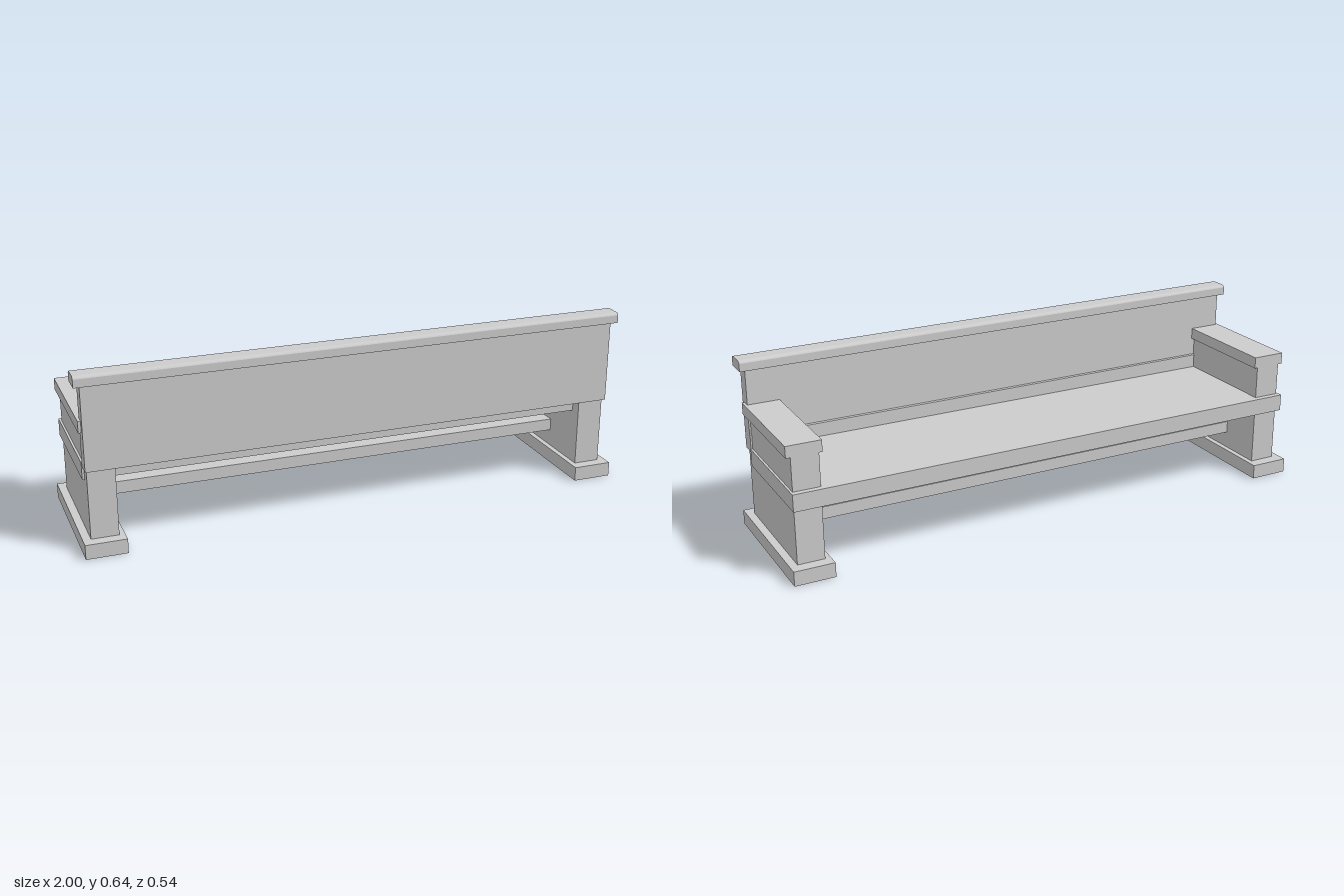
import * as THREE from 'three';

const material = new THREE.MeshStandardMaterial({ color: 0xcccccc });

// Box given by its limits on each axis
function box(name, [x0, x1], [y0, y1], [z0, z1]) {
  const mesh = new THREE.Mesh(new THREE.BoxGeometry(x1 - x0, y1 - y0, z1 - z0), material);
  mesh.position.set((x0 + x1) / 2, (y0 + y1) / 2, (z0 + z1) / 2);
  mesh.name = name;
  return mesh;
}

// Board running along x, from a cross-section drawn as (-z, y)
function board(name, shape, halfLength) {
  const geometry = new THREE.ExtrudeGeometry(shape, {
    depth: 2 * halfLength, bevelEnabled: false, curveSegments: 6,
  });
  geometry.translate(0, 0, -halfLength);
  geometry.rotateY(Math.PI / 2);
  const mesh = new THREE.Mesh(geometry, material);
  mesh.name = name;
  return mesh;
}

export function createModel() {
  const bench = new THREE.Group();
  bench.name = 'bench';

  // Seat and the stretcher below it
  bench.add(box('seat', [-0.98, 0.98], [0.253, 0.315], [-0.248, 0.187]));
  bench.add(box('stretcher', [-0.88, 0.88], [0.115, 0.16], [-0.06, 0.03]));

  // Backrest, slightly thicker along its lower edge
  const back = new THREE.Shape([
    [-0.243, 0.302], [-0.187, 0.302], [-0.187, 0.365],
    [-0.191, 0.369], [-0.191, 0.61], [-0.243, 0.61],
  ].map(([u, y]) => new THREE.Vector2(u, y)));
  bench.add(board('backrest', back, 0.978));

  // Top rail with eased upper edges
  const rail = new THREE.Shape();
  rail.moveTo(-0.256, 0.604);
  rail.lineTo(-0.177, 0.604);
  rail.lineTo(-0.177, 0.633);
  rail.quadraticCurveTo(-0.181, 0.641, -0.19, 0.642);
  rail.lineTo(-0.243, 0.642);
  rail.quadraticCurveTo(-0.252, 0.641, -0.256, 0.633);
  bench.add(board('topRail', rail, 1));

  // Ends: foot, leg panel, arm panel and armrest
  for (const [side, s] of [['left', 1], ['right', -1]]) {
    const end = new THREE.Group();
    end.name = side + 'End';
    const span = (a, b) => (s > 0 ? [a, b] : [-b, -a]);
    end.add(box(side + 'Foot', span(0.855, 1), [0, 0.053], [-0.27, 0.27]));
    end.add(box(side + 'Leg', span(0.875, 0.972), [0.05, 0.303], [-0.227, 0.229]));
    end.add(box(side + 'ArmPanel', span(0.875, 0.972), [0.3, 0.44], [-0.227, 0.2]));
    end.add(box(side + 'Armrest', span(0.863, 0.988), [0.435, 0.477], [-0.227, 0.222]));
    bench.add(end);
  }
  return bench;
}
